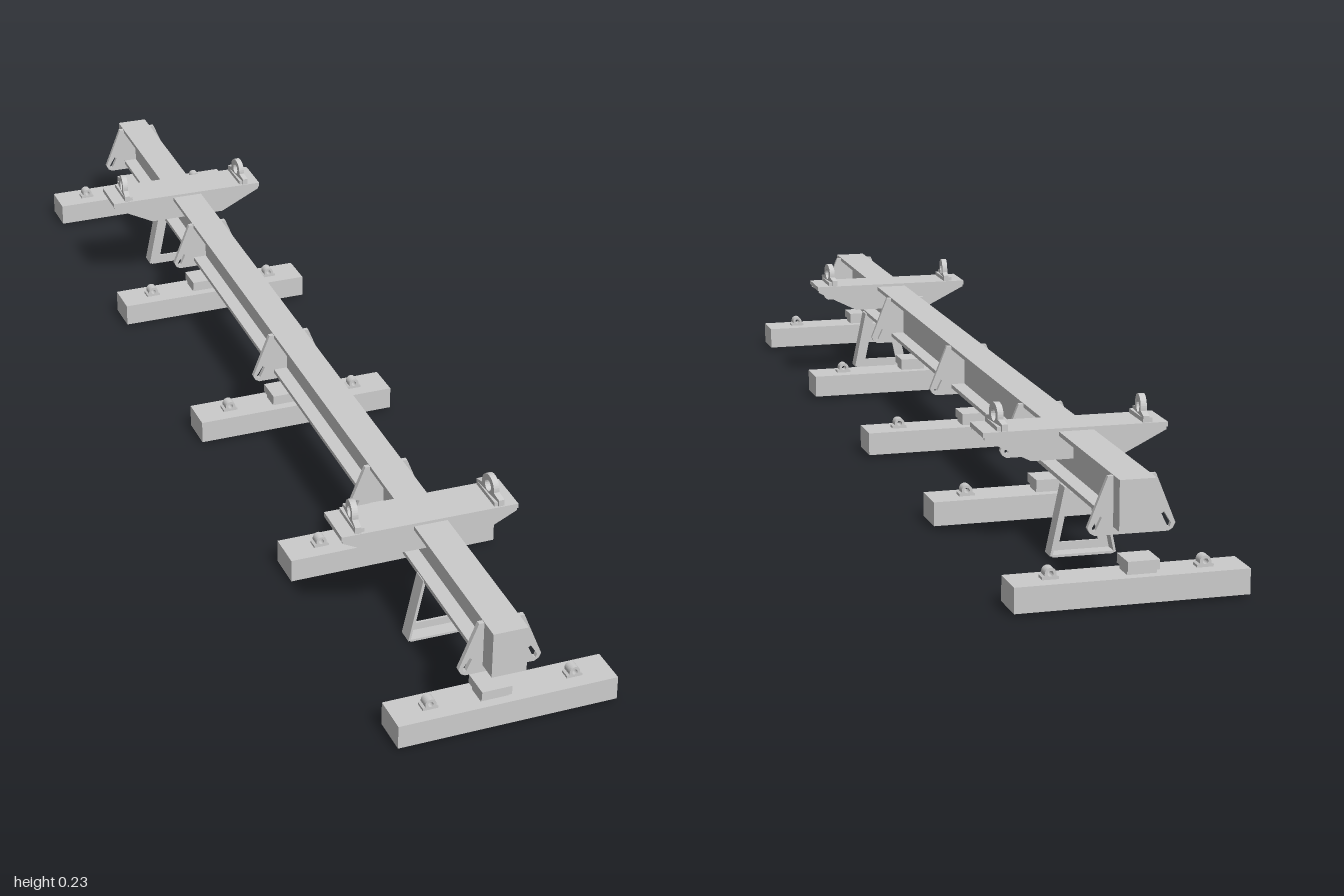
import * as THREE from 'three';

const mat = new THREE.MeshStandardMaterial({ color: 0xcccccc, flatShading: true, side: THREE.DoubleSide });

function add(parent, name, geo, x = 0, y = 0, z = 0) {
  const m = new THREE.Mesh(geo, mat);
  m.name = name;
  m.position.set(x, y, z);
  parent.add(m);
  return m;
}
const box = (parent, name, w, h, d, x, y, z) => add(parent, name, new THREE.BoxGeometry(w, h, d), x, y, z);

const polygon = (pts) => new THREE.Shape(pts.map(([x, y]) => new THREE.Vector2(x, y)));

// Flat plate in the XY plane, centred on z = 0
function plate(shape, t) {
  return new THREE.ExtrudeGeometry(shape, { depth: t, bevelEnabled: false, curveSegments: 8 }).translate(0, 0, -t / 2);
}

// Dome-topped lifting eye with a hole, standing on y = 0
function eyePlate(half, base, shoulder, r, height, t) {
  const s = new THREE.Shape();
  s.moveTo(-half, 0);
  s.lineTo(half, 0);
  s.lineTo(half, base);
  s.lineTo(r, shoulder);
  s.lineTo(r, height - r);
  s.absarc(0, height - r, r, 0, Math.PI, false);
  s.lineTo(-r, shoulder);
  s.lineTo(-half, base);
  s.closePath();
  const hole = new THREE.Path();
  hole.absarc(0, height - r, r * 0.5, 0, Math.PI * 2, true);
  s.holes.push(hole);
  return plate(s, t);
}

// Tapered stiffener with a slanted slot near each lower corner
function gussetGeometry() {
  const s = polygon([[-0.037, 0.187], [-0.068, 0.11], [-0.064, 0.102], [-0.057, 0.098],
    [0.057, 0.098], [0.064, 0.102], [0.068, 0.11], [0.037, 0.187]]);
  for (const k of [-1, 1]) {
    const hole = new THREE.Path();
    [[0.046, 0.125], [0.05, 0.128], [0.061, 0.11], [0.059, 0.104], [0.055, 0.106]].forEach(([x, y], i) =>
      i ? hole.lineTo(k * x, y) : hole.moveTo(k * x, y));
    hole.closePath();
    s.holes.push(hole);
  }
  return plate(s, 0.008);
}

// Trapezoid channel across the beam, with two lifting eyes
function crossArm(z) {
  const g = new THREE.Group();
  g.name = 'liftingArm';
  g.position.z = z;
  box(g, 'armTop', 0.302, 0.008, 0.08, 0, 0.189, 0);
  const side = plate(polygon([[-0.149, 0.186], [-0.149, 0.181], [-0.073, 0.143],
    [0.073, 0.143], [0.149, 0.181], [0.149, 0.186]]), 0.005);
  for (const k of [-1, 1]) {
    add(g, 'armSide', side, 0, 0, k * 0.037);
    const eye = add(g, 'liftingEye', eyePlate(0.038, 0.012, 0.016, 0.02, 0.04, 0.01), k * 0.119, 0.192, 0);
    eye.rotation.y = Math.PI / 2 + k * 0.09;
    box(g, 'eyeFoot', 0.016, 0.008, 0.07, k * 0.119, 0.196, 0);
  }
  return g;
}

// A-frame stand of angle-section legs on a flat foot
function stand(z) {
  const g = new THREE.Group();
  g.name = 'stand';
  g.position.z = z;
  for (const k of [-1, 1]) {
    const face = polygon([[k * 0.012, 0.112], [k * 0.031, 0.112], [k * 0.054, 0.002], [k * 0.035, 0.002]]);
    add(g, 'legFace', plate(face, 0.004), 0, 0, Math.sign(z) * -0.012);
    const edge = polygon([[k * 0.027, 0.112], [k * 0.031, 0.112], [k * 0.054, 0.002], [k * 0.05, 0.002]]);
    add(g, 'legFlange', plate(edge, 0.028), 0, 0, 0);
  }
  box(g, 'standFoot', 0.1, 0.004, 0.028, 0, 0.002, 0);
  box(g, 'footRib', 0.094, 0.015, 0.004, 0, 0.0095, Math.sign(z) * -0.012);
  return g;
}

// Loose cross timber with a centre clamp and two small eyes
function timber(z) {
  const g = new THREE.Group();
  g.name = 'crossTimber';
  g.position.z = z;
  g.rotation.y = 0.015;
  box(g, 'timber', 0.365, 0.04, 0.066, 0, 0.025, 0);
  box(g, 'clampNeck', 0.046, 0.009, 0.034, -0.018, 0.049, 0);
  box(g, 'clampBlock', 0.05, 0.015, 0.05, -0.018, 0.06, 0);
  for (const x of [-0.12, 0.12]) {
    add(g, 'timberEye', eyePlate(0.013, 0.004, 0.006, 0.009, 0.018, 0.018), x, 0.045, 0);
  }
  return g;
}

export function createModel() {
  const model = new THREE.Group();
  model.name = 'spreaderBeam';

  // Main I-beam, very slightly tilted along its length
  const beam = new THREE.Group();
  beam.name = 'mainBeam';
  beam.position.x = -0.009;
  beam.rotation.x = 0.003;
  model.add(beam);
  const front = 0.998, back = -0.985, length = front - back, mid = (front + back) / 2;
  box(beam, 'topFlange', 0.057, 0.007, length, 0, 0.1845, mid);
  box(beam, 'bottomFlange', 0.057, 0.007, length, 0, 0.1135, mid);
  box(beam, 'web', 0.008, 0.07, length, 0, 0.149, mid);
  box(beam, 'frontEndBox', 0.057, 0.078, 0.038, 0, 0.149, front - 0.019);
  box(beam, 'backEndBox', 0.057, 0.078, 0.03, 0, 0.149, back + 0.015);

  const gusset = gussetGeometry();
  for (const z of [0.96, 0.485, 0.005, -0.472, -0.952]) add(beam, 'gusset', gusset, 0, 0, z);
  for (const z of [0.643, -0.637]) beam.add(crossArm(z));

  for (const z of [0.716, -0.708]) {
    const s = stand(z);
    s.position.x = -0.008;
    model.add(s);
  }
  for (let i = -2; i <= 2; i++) model.add(timber(i * 0.479 - 0.005));
  return model;
}
